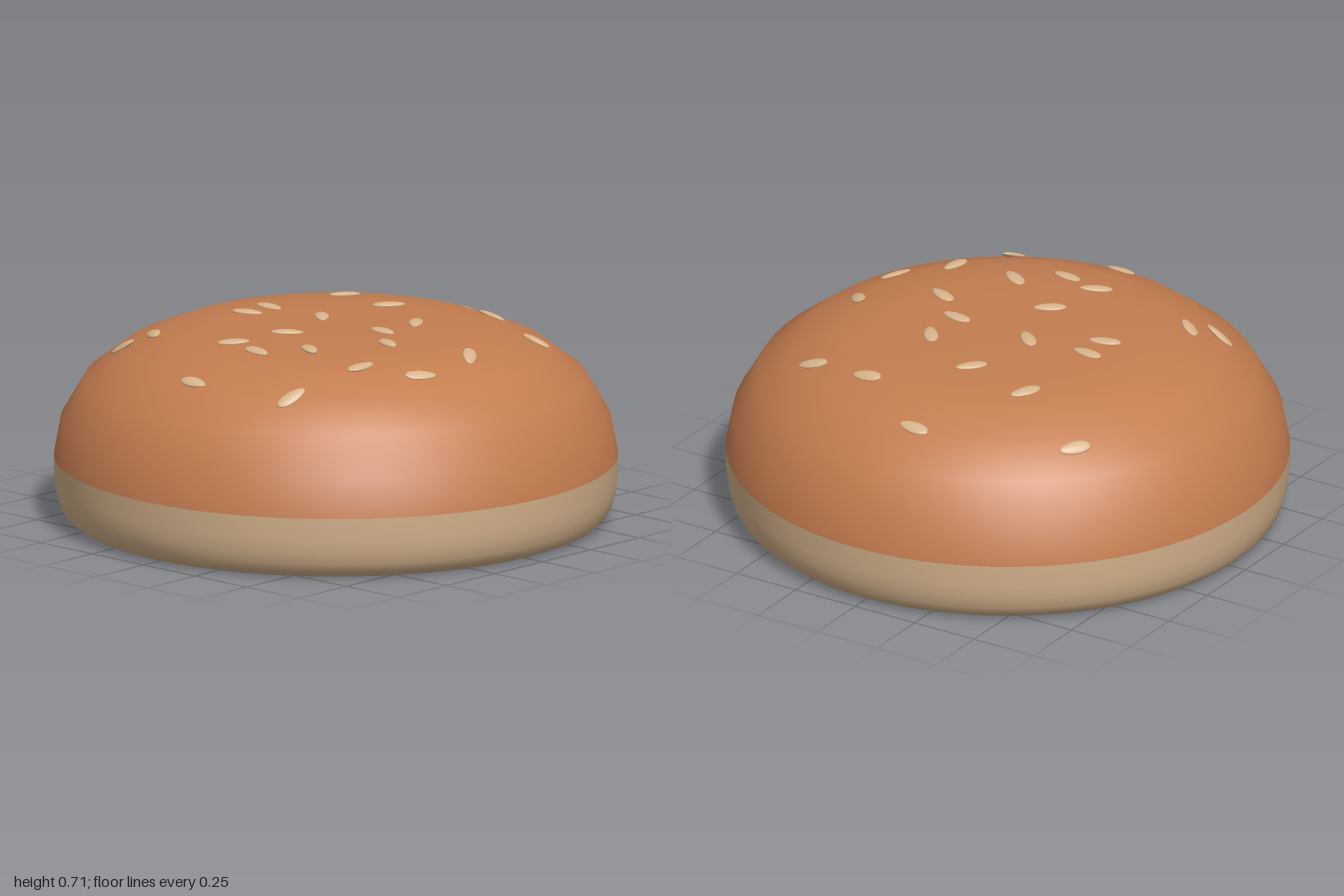
import * as THREE from 'three';

const UP = new THREE.Vector3(0, 1, 0);
const toVectors = (points) => points.map(([r, y]) => new THREE.Vector2(r, y));

// Radius and height pairs, from the bottom upwards
const baseProfile = toVectors([
  [0, 0], [0.9, 0], [0.915, 0.001], [0.94, 0.01], [0.962, 0.028], [0.98, 0.058],
  [0.992, 0.1], [0.998, 0.15], [1, 0.23],
]);
const crownProfile = toVectors([
  [1, 0.23], [0.975, 0.365], [0.89, 0.51], [0.755, 0.612], [0.59, 0.678], [0.4, 0.7], [0, 0.7],
]);

// Seeds: x, z and heading in degrees seen from above
const seeds = [
  [-0.08, -0.74, -3], [-0.61, -0.51, 55], [-0.33, -0.4, 62], [-0.07, -0.35, 50],
  [0.23, -0.565, 0], [0.49, -0.515, 10], [0.19, -0.21, -52], [-0.36, -0.04, -5],
  [-0.12, -0.055, -43], [0.19, -0.04, -8], [0.6, -0.05, -45], [-0.36, 0.075, 18],
  [0.33, 0.085, -24], [-0.045, 0.205, 35], [0.615, 0.22, 60], [0.19, 0.34, -33],
  [0.45, 0.355, 85], [-0.5, 0.41, -38], [-0.095, 0.43, 35], [0.05, 0.465, -10],
  [-0.575, 0.49, 8], [0.39, 0.65, 78], [0, 0.74, -5],
];

// Height and outward normal of the crown at a point seen from above
function crownSurface(x, z) {
  const r = Math.hypot(x, z);
  const i = crownProfile.findIndex((p) => p.x <= r);
  const a = crownProfile[i - 1], b = crownProfile[i];
  const t = (a.x - r) / (a.x - b.x);
  const slope = (b.y - a.y) / (a.x - b.x);
  const normal = new THREE.Vector3((x / r) * slope, 1, (z / r) * slope).normalize();
  return { y: a.y + (b.y - a.y) * t, normal };
}

// Flattened ellipsoid, a little narrower at one end
function seedGeometry() {
  const geometry = new THREE.SphereGeometry(1, 16, 10);
  const pos = geometry.attributes.position;
  for (let i = 0; i < pos.count; i++) {
    const x = pos.getX(i);
    pos.setXYZ(i, x * 0.06, pos.getY(i) * 0.01, pos.getZ(i) * 0.026 * (1 - 0.15 * x));
  }
  geometry.computeVertexNormals();
  return geometry;
}

export function createModel() {
  const model = new THREE.Group();
  model.name = 'sesameBun';

  const addLathe = (name, profile, color) => {
    const mesh = new THREE.Mesh(
      new THREE.LatheGeometry(profile, 64),
      new THREE.MeshStandardMaterial({ color, side: THREE.DoubleSide }),
    );
    mesh.name = name;
    model.add(mesh);
  };
  addLathe('bunBase', baseProfile, 0xd2b08a);
  addLathe('bunCrown', crownProfile, 0xc47d50);

  // Seeds lying flat on the crown
  const seedGroup = new THREE.Group();
  seedGroup.name = 'sesameSeeds';
  const geometry = seedGeometry();
  const material = new THREE.MeshStandardMaterial({ color: 0xd8b48c });
  seeds.forEach(([x, z, heading], i) => {
    const { y, normal } = crownSurface(x, z);
    const seed = new THREE.Mesh(geometry, material);
    seed.name = `seed${i + 1}`;
    seed.position.set(x, y, z).addScaledVector(normal, 0.002);
    seed.quaternion.setFromUnitVectors(UP, normal);
    seed.rotateY(THREE.MathUtils.degToRad(heading));
    seedGroup.add(seed);
  });
  model.add(seedGroup);
  return model;
}
